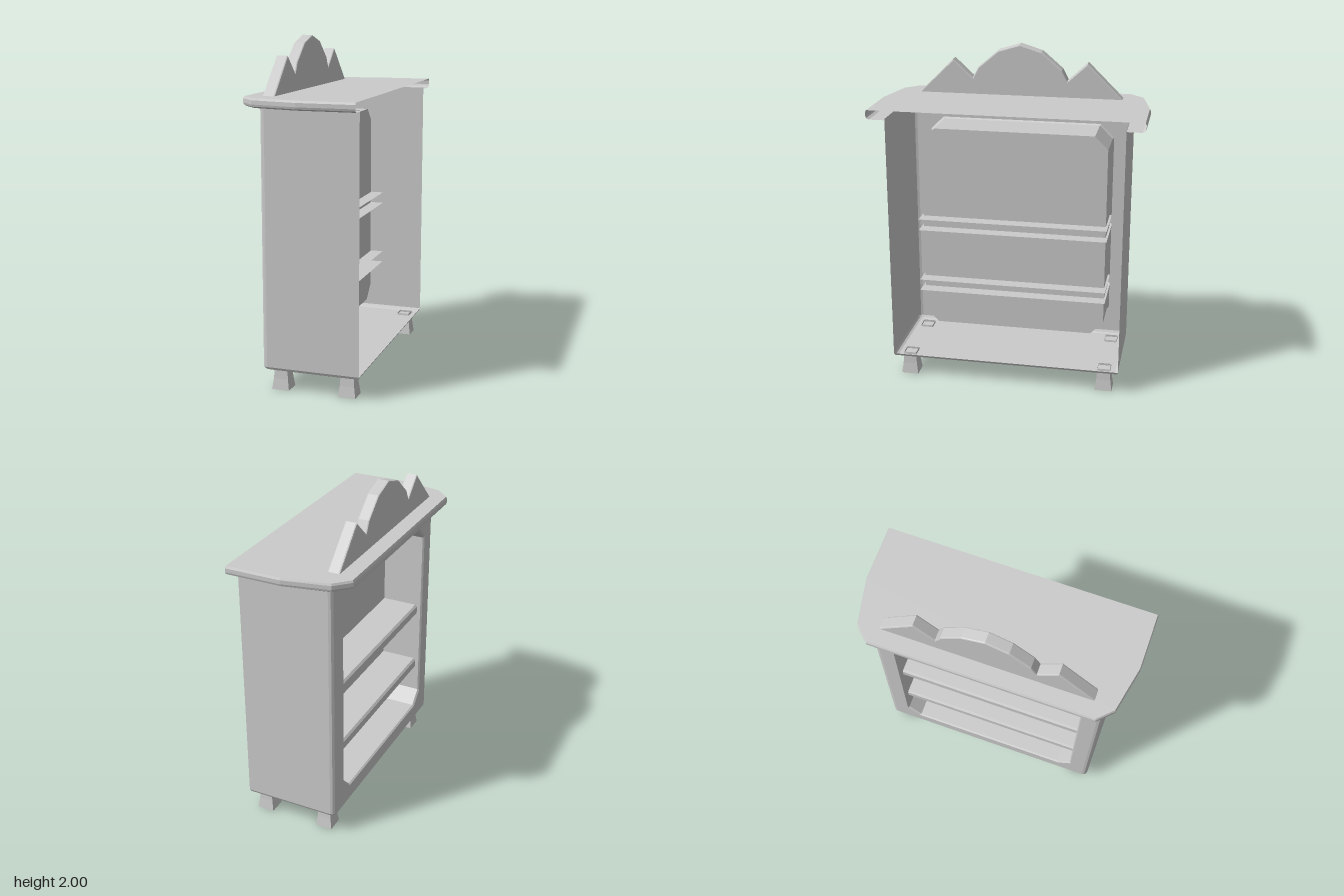
import * as THREE from 'three';

const material = new THREE.MeshStandardMaterial({ color: 0xcccccc, flatShading: true, side: THREE.DoubleSide });

// Skin between successive outlines with equal point counts.
function loft(loops, closed) {
  const n = loops[0].length, index = [];
  for (let i = 0; i < loops.length - 1; i++) {
    for (let j = 0; j < (closed ? n : n - 1); j++) {
      const a = i * n + j, b = i * n + (j + 1) % n;
      index.push(a, b, a + n, b, b + n, a + n);
    }
  }
  const g = new THREE.BufferGeometry();
  g.setAttribute('position', new THREE.Float32BufferAttribute(loops.flat(2), 3));
  g.setIndex(index);
  g.computeVertexNormals();
  return g;
}

const shapeOf = (pts) => new THREE.Shape(pts.map(([a, b]) => new THREE.Vector2(a, b)));
// Flat sheet from (x, z) points at height y
const sheet = (pts, y) => new THREE.ShapeGeometry(shapeOf(pts)).rotateX(Math.PI / 2).translate(0, y, 0);
// Lift (x, z) points to height y
const atY = (pts, y) => pts.map(([x, z]) => [x, y, z]);
// Complete a half outline (z > 0) with its mirror image
const mirrorZ = (half) => [...half, ...half.slice().reverse().map(([x, z]) => [x, -z])];

// Cabinet plan: square at the back, rounded at the front corners
function bodyPlan(inset, back = 0.335) {
  const z = 0.695 - inset, x = -0.245 + inset, r = 0.03, half = [[back - inset, z]];
  for (let k = 0; k <= 3; k++) {
    const a = (k / 3) * Math.PI / 2;
    half.push([x + r - r * Math.sin(a), z - r + r * Math.cos(a)]);
  }
  return mirrorZ(half);
}

// Top board plan: tapered towards the front
const boardPlan = (i) => mirrorZ([[0.345, 0.805 - i], [0.01, 0.805 - i], [-0.265 + i * 0.7, 0.748 - i * 0.7], [-0.35 + i, 0.662 - i * 0.5]]);

// Display opening: rectangle with cut corners, as (z, y)
function opening(i) {
  const z = 0.575 - i, b = 0.23 + i, t = 1.52 - i, c = 0.08;
  return [[z, b + c], [z, t - c], [z - c, t], [c - z, t], [-z, t - c], [-z, b + c], [c - z, b], [z - c, b]];
}

export function createModel() {
  const model = new THREE.Group();
  const add = (name, geometry) => {
    const mesh = new THREE.Mesh(geometry, material);
    mesh.name = name;
    model.add(mesh);
    return mesh;
  };

  // Side walls with rounded front corners
  const plan = bodyPlan(0), half = plan.length / 2;
  for (const [name, wall] of [['leftWall', plan.slice(0, half)], ['rightWall', plan.slice(half)]]) {
    add(name, loft([atY(wall, 0.145), atY(wall, 1.64)], false));
  }

  // Rounded lower edge and floor
  add('lowerEdge', loft([[0.02, 0.125], [0.007, 0.131], [0, 0.145]].map(([i, y]) => atY(bodyPlan(i), y)), true));
  add('floor', sheet(bodyPlan(0.02), 0.125));

  // Face frame around the opening
  const face = shapeOf([[-0.665, 0.145], [0.665, 0.145], [0.665, 1.64], [-0.665, 1.64]]);
  face.holes.push(new THREE.Path(opening(0).map(([z, y]) => new THREE.Vector2(z, y))));
  add('faceFrame', new THREE.ShapeGeometry(face).rotateY(-Math.PI / 2).translate(-0.245, 0, 0));

  // Recess with its rear panel
  const rim = [[-0.245, 0], [-0.235, 0.008], [0.02, 0.008]];
  add('recessWalls', loft(rim.map(([x, i]) => opening(i).map(([z, y]) => [x, y, z])), true));
  add('rearPanel', new THREE.ShapeGeometry(shapeOf(opening(0.008))).rotateY(-Math.PI / 2).translate(0.02, 0, 0));

  // Hollow shelves with an eased front edge, running through the rear panel
  const profile = [[0.1, 0.035], [-0.2, 0.035], [-0.212, 0.023], [-0.212, -0.023], [-0.2, -0.035], [0.1, -0.035]];
  for (const [name, y] of [['lowerShelf', 0.517], ['upperShelf', 0.917]]) {
    add(name, loft([-0.58, 0.58].map((z) => profile.map(([x, h]) => [x, y + h, z])), false));
  }

  // Top board: upper sheet, rounded rim and overhang underside
  add('topBoard', sheet(boardPlan(0.006), 1.69));
  add('topBoardRim', loft([[0.02, 1.635], [0.004, 1.643], [0, 1.655], [0, 1.678], [0.006, 1.69]]
    .map(([i, y]) => atY(boardPlan(i), y)), false));
  add('overhangUnderside', sheet([...boardPlan(0.02), ...bodyPlan(0, 0.345).reverse()], 1.635));

  // Crest: central arch between two pointed gables
  const b = 0.008;
  const rise = [[0.632, 1.675], [0.41, 1.889], [0.288, 1.778], [0.25, 1.85], [0.13, 1.952]];
  const crest = shapeOf([...rise, [0, 1.992], ...rise.slice().reverse().map(([z, y]) => [-z, y])]);
  add('crest', new THREE.ExtrudeGeometry(crest, {
    depth: 0.072 - 2 * b, bevelEnabled: true, bevelThickness: b, bevelSize: b, bevelSegments: 2,
  }).rotateY(-Math.PI / 2).translate(-0.178 - b, 0, 0));

  // Flared hollow feet
  const square = (s, y) => [[s, y, s], [s, y, -s], [-s, y, -s], [-s, y, s]];
  const foot = loft([square(0.052, 0), square(0.043, 0.065), square(0.038, 0.138)], true);
  for (const x of [-0.15, 0.25]) {
    for (const z of [-0.605, 0.605]) {
      add(x < 0 ? 'frontFoot' : 'backFoot', foot).position.set(x, 0, z);
    }
  }

  return model;
}
